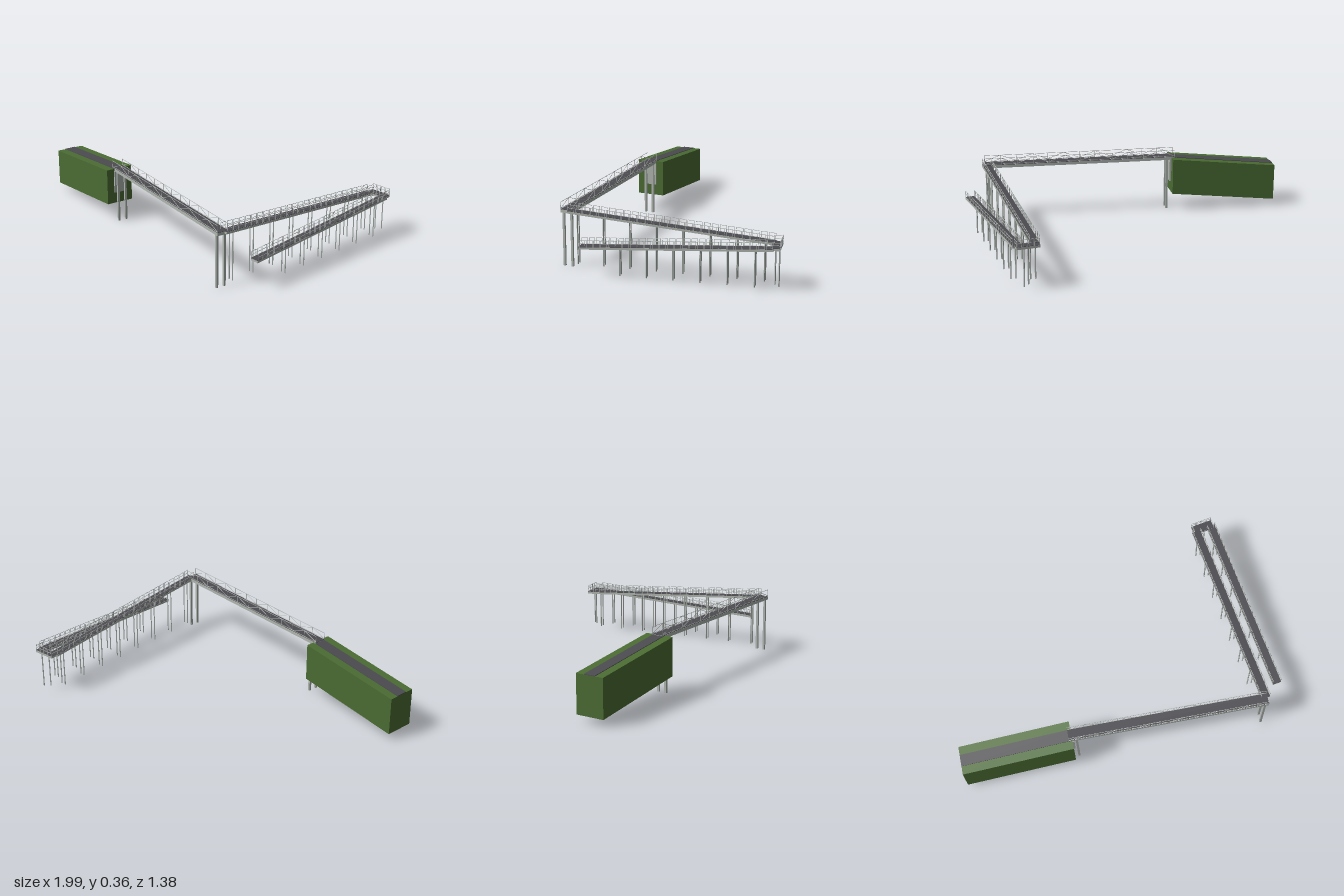
import * as THREE from 'three';
import { mergeGeometries } from 'three/addons/utils/BufferGeometryUtils.js';

const mat = (name, color) => Object.assign(new THREE.MeshStandardMaterial({ color }), { name });
const V = (x, y, z) => new THREE.Vector3(x, y, z);

// box given by its limits
function block(x0, x1, y0, y1, z0, z1) {
  return new THREE.BoxGeometry(x1 - x0, y1 - y0, z1 - z0)
    .translate((x0 + x1) / 2, (y0 + y1) / 2, (z0 + z1) / 2);
}

// thin square bar between two points
function bar(p, q, t) {
  const d = q.clone().sub(p);
  const turn = new THREE.Quaternion().setFromUnitVectors(V(0, 1, 0), d.clone().normalize());
  const mid = p.clone().add(q).multiplyScalar(0.5);
  return new THREE.BoxGeometry(t, d.length(), t).applyQuaternion(turn).translate(mid.x, mid.y, mid.z);
}

export function createModel() {
  const model = new THREE.Group();
  const grass = mat('grass', 0x4b6c33);
  const asphalt = mat('asphalt', 0x4c4b50);
  const concrete = mat('concrete', 0xb0b6b0);
  const steel = mat('steel', 0xb4b9b6);

  const add = (parent, name, geos, material) => {
    const mesh = new THREE.Mesh(mergeGeometries(geos), material);
    mesh.name = name;
    parent.add(mesh);
  };

  // A span runs from a to b: local x along it, y up, z across; slopes keep plumb ends.
  function span(name, a, b) {
    const group = new THREE.Group();
    group.name = name;
    model.add(group);
    const dir = b.clone().sub(a);
    const length = Math.hypot(dir.x, dir.z);
    dir.divideScalar(length);
    const frame = new THREE.Matrix4()
      .makeBasis(dir, V(0, 1, 0), V(-dir.z, 0, dir.x)).setPosition(a);
    const part = (partName, geos, material) =>
      add(group, partName, geos.map(g => g.applyMatrix4(frame)), material);
    return { group, length, part };
  }

  // slab with its asphalt surface, top at local y = 0
  function deck(s, width, depth) {
    s.part('slab', [block(0, s.length, -depth, -0.002, -width / 2, width / 2)], concrete);
    s.part('surface', [block(0, s.length, -0.002, 0, -width / 2 + 0.001, width / 2 - 0.001)], asphalt);
  }

  // row of separate guard hoops with a middle bar
  function hoops(s, z, count) {
    const geos = [], pitch = s.length / count, t = 0.002, h = 0.035;
    for (let i = 0; i < count; i++) {
      const x0 = (i + 0.1) * pitch, x1 = (i + 0.9) * pitch;
      for (const x of [x0, x1]) geos.push(bar(V(x, -0.004, z), V(x, h, z), t));
      for (const y of [h, h * 0.5]) geos.push(bar(V(x0, y, z), V(x1, y, z), t));
    }
    s.part('guardHoops', geos, steel);
  }

  // Embankment with its path
  const farEnd = V(-0.94, 0.246, -0.64), gate = V(-0.546, 0.312, -0.172);
  const bank = span('embankment', farEnd, gate);
  bank.part('earth', [block(0, bank.length, -0.208, 0, -0.079, 0.079)], grass);
  bank.part('path', [block(0, bank.length, 0, 0.003, -0.032, 0.032)], asphalt);

  // Main bridge
  const bridge = span('bridge', V(-0.557, 0.317, -0.186), V(0.14, 0.317, 0.667));
  const L = bridge.length;
  deck(bridge, 0.064, 0.019);
  bridge.part('abutment', [block(0.018, 0.028, -0.147, -0.017, -0.036, 0.036)], concrete);
  const panels = 12, pitch = L / panels, low = 0.003, high = 0.038, t = 0.002;
  for (const z of [-0.031, 0.031]) {
    const truss = [low, high].map(y => bar(V(0, y, z), V(L, y, z), t));
    for (let i = 0; i <= panels; i++) {
      const x = i * pitch;
      truss.push(bar(V(x, -0.002, z), V(x, high, z), t));
      if (i === panels) break;
      // diagonals lean in turn to either side
      const [y0, y1] = i % 2 ? [high, low] : [low, high];
      truss.push(bar(V(x, y0, z), V(x + pitch, y1, z), t));
    }
    bridge.part('trussRailing', truss, steel);
  }
  const piers = [];
  for (const x of [0.042, L - 0.02])
    for (const z of [-0.023, 0.023])
      piers.push(block(x - 0.006, x + 0.006, -0.317, -0.018, z - 0.006, z + 0.006));
  bridge.part('piers', piers, concrete);

  // Two ramps and the landing where they turn back
  const rampWidth = 0.05, railZ = 0.024;
  const ramps = [
    { name: 'upperRamp', a: V(0.142, 0.317, 0.654), b: V(0.886, 0.24, -0.158),
      legZ: [0, 1, 2, 3, 4, 5, 6, 7].map(k => 0.615 - 0.105 * k) },
    { name: 'lowerRamp', a: V(0.301, 0.168, 0.66), b: V(0.958, 0.237, -0.102),
      legZ: [0, 1, 2, 3, 4, 5].map(k => 0.497 - 0.106 * k) },
  ];
  for (const { name, a, b, legZ } of ramps) {
    const s = span(name, a, b);
    deck(s, rampWidth, 0.014);
    for (const z of [-railZ, railZ]) hoops(s, z, 26);

    // paired thin legs, evenly spaced along the ramp
    const side = V(b.z - a.z, 0, a.x - b.x).normalize().multiplyScalar(0.013);
    const legs = [];
    for (const z of legZ) {
      const p = a.clone().lerp(b, (a.z - z) / (a.z - b.z));
      for (const k of [-1, 1]) {
        const q = p.clone().addScaledVector(side, k);
        legs.push(bar(V(q.x, 0.025, q.z), V(q.x, p.y - 0.01, q.z), 0.0055));
      }
    }
    add(s.group, 'legs', legs, concrete);
  }

  const landing = span('landing', V(0.882, 0.239, -0.178), V(0.974, 0.239, -0.1));
  deck(landing, rampWidth, 0.014);
  hoops(landing, -railZ, 4);
  for (const x of [0.002, landing.length - 0.002])
    landing.part('endGuard', [
      ...[-railZ, railZ].map(z => bar(V(x, -0.004, z), V(x, 0.028, z), 0.002)),
      ...[0.014, 0.028].map(y => bar(V(x, y, -railZ), V(x, y, railZ), 0.002)),
    ], steel);
  add(landing.group, 'legs',
    [0.92, 0.957].map(x => bar(V(x, 0.025, -0.138), V(x, 0.23, -0.138), 0.0055)), concrete);

  return model;
}
